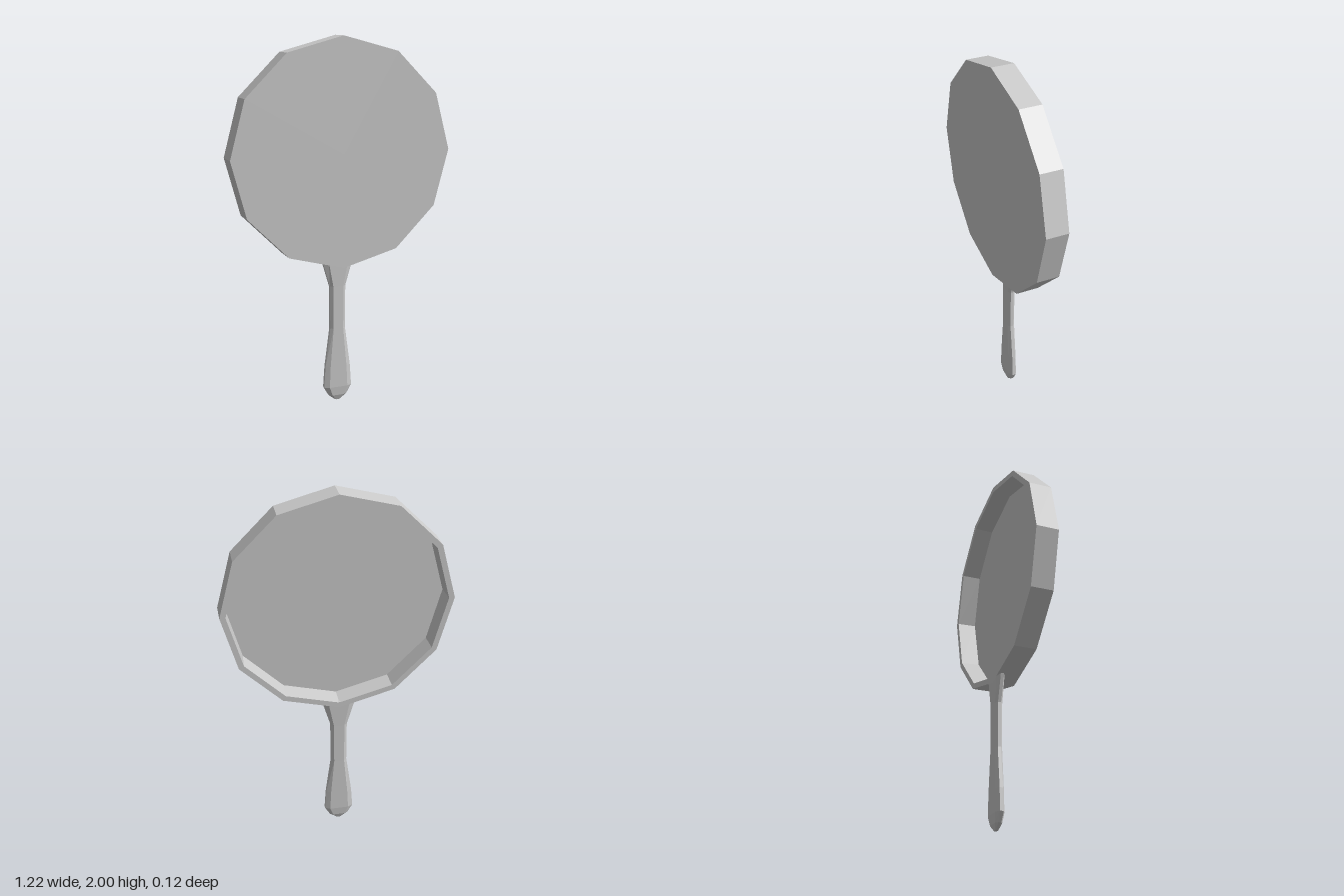
import * as THREE from 'three';

const material = new THREE.MeshStandardMaterial({ color: 0xcccccc, flatShading: true });

// Handle stations: height, half width, half thickness
const STATIONS = [
  [0.0, 0.014, 0.008], [0.03, 0.052, 0.019], [0.08, 0.08, 0.024], [0.2, 0.072, 0.023],
  [0.42, 0.043, 0.021], [0.66, 0.045, 0.021], [0.8, 0.086, 0.023], [0.815, 0.09, 0.023],
];
// Flattened octagon, running from +x towards -z
const OCTAGON = [[1, -0.4], [0.65, -1], [-0.65, -1], [-1, -0.4], [-1, 0.4], [-0.65, 1], [0.65, 1], [1, 0.4]];

function loft(stations, section) {
  const n = section.length;
  const positions = [];
  const index = [];
  for (const [y, w, t] of stations) {
    for (const [x, z] of section) positions.push(x * w, y, z * t);
  }
  for (let i = 0; i < stations.length - 1; i++) {
    for (let j = 0; j < n; j++) {
      const a = i * n + j, b = i * n + (j + 1) % n;
      index.push(a, b, b + n, a, b + n, a + n);
    }
  }
  // End caps
  const top = (stations.length - 1) * n;
  for (let j = 1; j < n - 1; j++) {
    index.push(0, j + 1, j, top, top + j, top + j + 1);
  }
  const geometry = new THREE.BufferGeometry();
  geometry.setAttribute('position', new THREE.Float32BufferAttribute(positions, 3));
  geometry.setIndex(index);
  const faceted = geometry.toNonIndexed();
  faceted.computeVertexNormals();
  return faceted;
}

export function createModel() {
  const group = new THREE.Group();

  // Twelve-sided pan: outer base, outer wall, rim, inner wall, cooking floor
  const profile = [[0, -0.061], [0.609, -0.061], [0.609, 0.061], [0.578, 0.061], [0.572, -0.04], [0, -0.04]]
    .map(([r, h]) => new THREE.Vector2(r, h));
  const panGeometry = new THREE.LatheGeometry(profile, 12);
  panGeometry.rotateX(-Math.PI / 2); // the opening faces the back
  const pan = new THREE.Mesh(panGeometry, material);
  pan.name = 'pan';
  pan.position.y = 1.391;
  group.add(pan);

  // Flattened handle, flush with the rim
  const handle = new THREE.Mesh(loft(STATIONS, OCTAGON), material);
  handle.name = 'handle';
  handle.position.z = -0.038;
  group.add(handle);

  return group;
}
